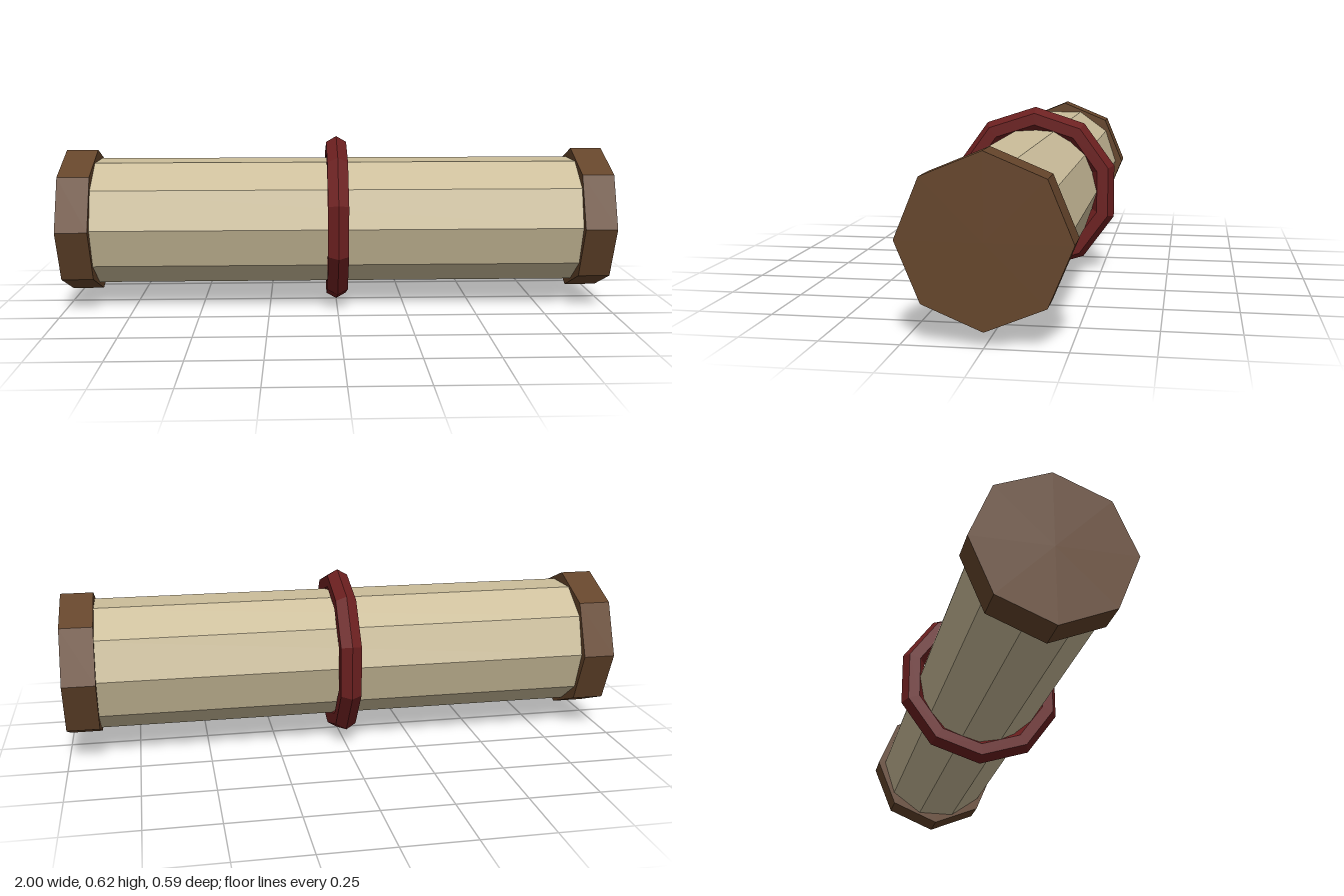
import * as THREE from 'three';

const AXIS_Y = 0.312;

function material(color) {
  return new THREE.MeshStandardMaterial({ color, flatShading: true });
}

// Cylinder lying along x
function rod(name, radius, length, sides, mat, x = 0) {
  const geometry = new THREE.CylinderGeometry(radius, radius, length, sides);
  geometry.rotateZ(Math.PI / 2);
  const mesh = new THREE.Mesh(geometry, mat);
  mesh.name = name;
  mesh.position.set(x, AXIS_Y, 0);
  return mesh;
}

export function createModel() {
  const group = new THREE.Group();
  group.name = 'scroll';
  const paper = material(0xcbbd9a);
  const wood = material(0x65452b);
  const ribbon = material(0x6b1f1f);

  // Rolled paper: ten sides
  group.add(rod('paperRoll', 0.235, 1.88, 10, paper));

  // Octagonal end caps
  for (const side of [-1, 1]) {
    group.add(rod(side > 0 ? 'leftCap' : 'rightCap', 0.264, 0.115, 8, wood, side * 0.9425));
  }

  // Tie band: hexagonal section swept round ten sides, one corner on top
  const band = new THREE.TorusGeometry(0.269, 0.043, 6, 10);
  band.rotateZ(Math.PI / 2);
  band.rotateY(Math.PI / 2);
  const tie = new THREE.Mesh(band, ribbon);
  tie.name = 'tieBand';
  tie.position.y = AXIS_Y;
  group.add(tie);

  return group;
}
